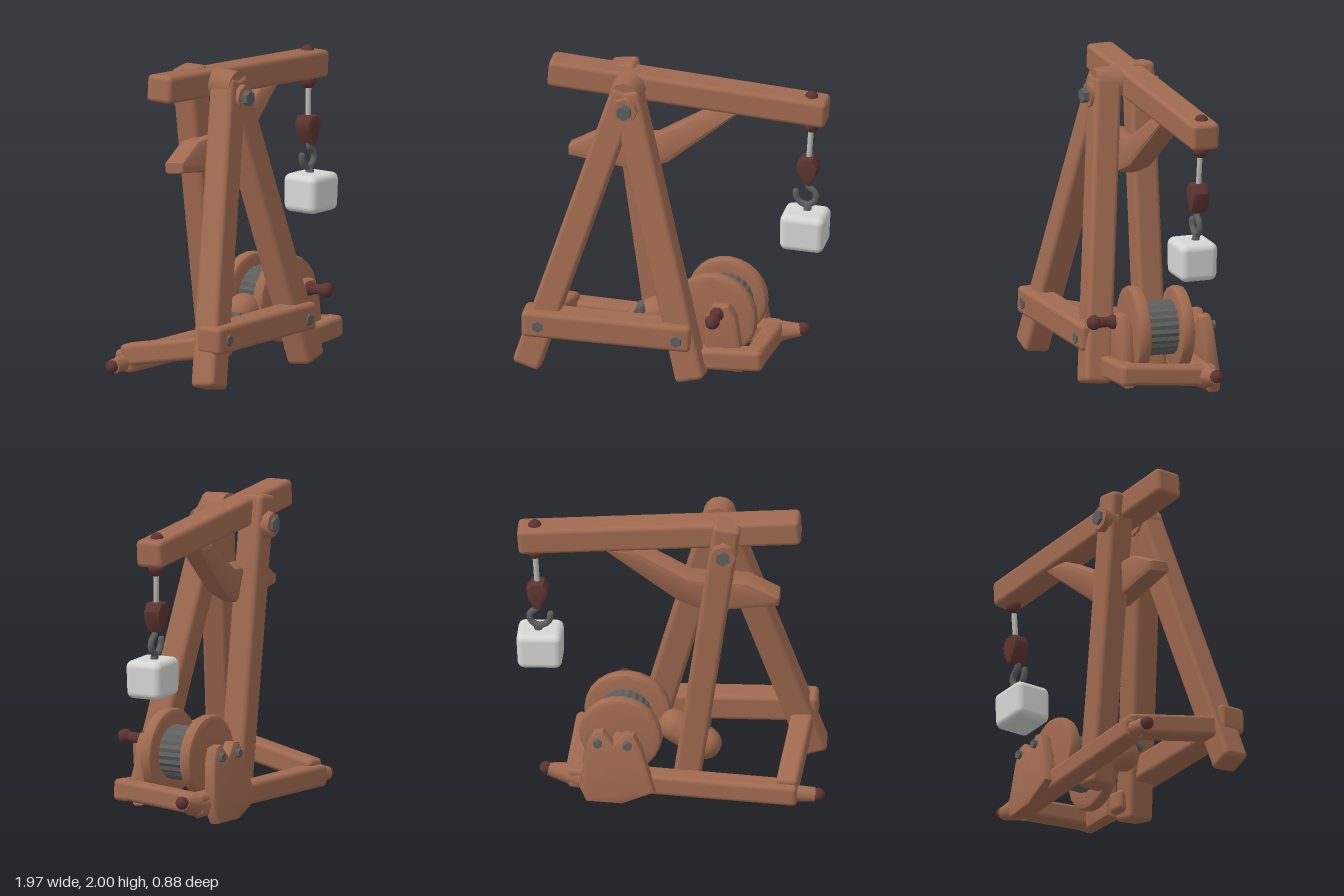
import * as THREE from 'three';
import { RoundedBoxGeometry } from 'three/addons/geometries/RoundedBoxGeometry.js';
import { toCreasedNormals } from 'three/addons/utils/BufferGeometryUtils.js';

const material = (name, color) => Object.assign(new THREE.MeshStandardMaterial({ color }), { name });
const V = (a) => new THREE.Vector3(...a);

export function createModel() {
  const wood = material('wood', 0xa06a50);
  const maroon = material('dark red paint', 0x5c3430);
  const iron = material('iron', 0x5c5f5e);
  const stone = material('pale stone', 0xd6d6d4);
  const rope = material('rope', 0xb8b8b4);

  const model = new THREE.Group();
  model.name = 'woodenCrane';

  function add(name, geometry, mat, pos = [0, 0, 0], parent = model) {
    const mesh = new THREE.Mesh(geometry, mat);
    mesh.name = name;
    mesh.position.set(...pos);
    parent.add(mesh);
    return mesh;
  }

  // Turns a mesh so its length (local y) runs from a to b
  function span(mesh, a, b, ref = [0, 0, 1]) {
    const y = V(b).sub(V(a)).normalize();
    const x = new THREE.Vector3().crossVectors(y, V(ref)).normalize();
    const z = new THREE.Vector3().crossVectors(x, y);
    mesh.quaternion.setFromRotationMatrix(new THREE.Matrix4().makeBasis(x, y, z));
    mesh.position.copy(V(a).add(V(b)).multiplyScalar(0.5));
    return mesh;
  }

  // Squared timber with softened edges
  function beam(name, a, b, w, d, ref) {
    const len = V(a).distanceTo(V(b));
    return span(add(name, new RoundedBoxGeometry(w, len, d, 2, 0.03), wood), a, b, ref);
  }

  // Round bar, optionally tapered
  function rod(name, a, b, ra, rb, mat, sides = 12) {
    const len = V(a).distanceTo(V(b));
    const g = toCreasedNormals(new THREE.CylinderGeometry(rb, ra, len, sides), 0.8);
    const ref = Math.abs(b[2] - a[2]) > 0.8 * len ? [0, 1, 0] : [0, 0, 1];
    return span(add(name, g, mat), a, b, ref);
  }

  const knob = (name, pos, r) => add(name, new THREE.SphereGeometry(r, 10, 8), maroon, pos);

  // Side profile extruded along z with a rounded edge
  function plate(name, points, depth, bevel, pos, parent, mat = wood) {
    const shape = new THREE.Shape(points.map(([x, y]) => new THREE.Vector2(x, y)));
    const g = new THREE.ExtrudeGeometry(shape, {
      depth: depth - 2 * bevel, bevelThickness: bevel, bevelSize: bevel, bevelOffset: -bevel, bevelSegments: 2,
    });
    g.translate(0, 0, bevel - depth / 2);
    return add(name, toCreasedNormals(g, 0.7), mat, pos, parent);
  }

  // Frame legs, the front pair joined by a rounded head
  beam('frontLeftwardLeg', [-0.868, 0.045, 0.333], [-0.281, 1.9, 0.065], 0.18, 0.175);
  beam('frontRightwardLeg', [0.2, 0.045, 0.325], [-0.284, 1.9, 0.065], 0.187, 0.175);
  rod('legHead', [-0.285, 1.868, -0.022], [-0.285, 1.868, 0.14], 0.108, 0.1, wood, 12);
  beam('backLeg', [-0.095, 0.045, -0.17], [-0.36, 1.97, -0.188], 0.175, 0.17);

  // Jib and its bent brace
  beam('jib', [-0.815, 1.912, -0.1], [0.972, 1.775, -0.14], 0.175, 0.185);
  plate('jibBrace', [[-0.68, 1.35], [-0.68, 1.415], [-0.48, 1.525], [-0.12, 1.535], [0.24, 1.75],
    [0.46, 1.77], [-0.03, 1.365], [-0.22, 1.285]], 0.155, 0.03, [0, 0.01, 0.087]).rotation.x = -0.12;

  // Pivot washers and bolts at the head: x, y, inner, washer and bolt depths
  for (const [x, y, z0, z1, z2] of [[-0.27, 1.8, 0.1, 0.19, 0.23], [-0.34, 1.785, -0.22, -0.315, -0.335]]) {
    rod('pivotWasher', [x, y, z0], [x, y, z1], 0.095, 0.08, wood, 8);
    rod('pivotBolt', [x, y, z0], [x, y, z2], 0.055, 0.048, iron, 6);
  }

  // Base timbers
  beam('frontCrossbar', [-0.89, 0.355, 0.34], [0.2, 0.34, 0.32], 0.175, 0.18);
  beam('leftTie', [-0.75, 0.155, -0.39], [-0.8, 0.3, 0.3], 0.14, 0.14, [0, 1, 0]);
  beam('backSill', [-0.82, 0.12, -0.375], [0.64, 0.13, -0.275], 0.14, 0.14);
  beam('winchFrontSill', [0.14, 0.15, 0.235], [0.64, 0.185, 0.245], 0.14, 0.12);
  beam('winchSideSill', [0.58, 0.19, 0.3], [0.6, 0.135, -0.3], 0.12, 0.13, [0, 1, 0]);
  for (const [x, y, z] of [[-0.78, 0.35, 0.415], [0.11, 0.328, 0.4]]) {
    rod('crossbarBolt', [x, y, z], [x, y, z + 0.024], 0.042, 0.036, iron, 6);
  }

  // Tapered sill ends with knobs
  rod('sillTip', [-0.78, 0.115, -0.372], [-0.93, 0.11, -0.365], 0.055, 0.047, wood, 8);
  rod('sillTip', [0.56, 0.125, -0.28], [0.77, 0.16, -0.28], 0.088, 0.042, wood, 8);
  knob('sillKnob', [-0.95, 0.11, -0.365], 0.042);
  knob('sillKnob', [0.785, 0.168, -0.28], 0.042);

  // Winch: two cheeks with a ribbed drum between, the rear cheek smaller
  const winch = new THREE.Group();
  winch.name = 'winch';
  winch.position.set(0.305, 0.395, -0.05);
  winch.rotation.y = -0.08;
  model.add(winch);
  for (const [r, z] of [[0.262, -0.148], [0.28, 0.14]]) {
    const rim = Array.from({ length: 24 }, (_, i) => {
      const a = (i / 24) * Math.PI * 2;
      return [r * Math.cos(a), r * Math.sin(a)];
    });
    plate('winchCheek', rim, 0.085, 0.025, [0, 0, z], winch);
  }
  const ribs = Array.from({ length: 44 }, (_, i) => {
    const a = (i / 44) * Math.PI * 2;
    const r = i % 2 ? 0.166 : 0.174;
    return new THREE.Vector2(r * Math.cos(a), r * Math.sin(a));
  });
  const drum = new THREE.ExtrudeGeometry(new THREE.Shape(ribs), { depth: 0.24, bevelEnabled: false });
  add('winchDrum', drum, iron, [0.01, 0.005, -0.12], winch);

  // Stubby pawl log between the back leg and the winch, with its iron pin
  const log = new THREE.CapsuleGeometry(0.105, 0.22, 5, 12);
  span(add('winchLog', log, wood), [-0.225, 0.245, -0.04], [0.01, 0.375, -0.01]);
  rod('logPin', [-0.2, 0.35, -0.04], [-0.2, 0.35, 0.1], 0.035, 0.035, iron, 8);

  // Front winch post and crank handle
  plate('winchPost', [[0.25, 0.07], [0.5, 0.07], [0.49, 0.25], [0.46, 0.45], [0.41, 0.52], [0.31, 0.52],
    [0.265, 0.45]], 0.085, 0.022, [0, 0, 0.2]);
  rod('crankHandle', [0.34, 0.47, 0.2], [0.34, 0.475, 0.4], 0.03, 0.038, maroon, 10);
  knob('crankKnob', [0.34, 0.476, 0.378], 0.048);
  knob('crankCollar', [0.34, 0.47, 0.25], 0.046);

  // Back winch bracket with two humps
  const bracket = plate('backBracket', [[0.09, 0.1], [0.3, 0.005], [0.53, 0.005], [0.575, 0.1], [0.53, 0.4],
    [0.49, 0.49], [0.43, 0.5], [0.36, 0.415], [0.29, 0.5], [0.23, 0.49], [0.18, 0.39]], 0.085, 0.022, [-0.01, 0, -0.41]);
  bracket.rotation.set(0.1, -0.08, 0);
  for (const [x, z] of [[0.26, -0.37], [0.45, -0.355]]) {
    rod('bracketBolt', [x, 0.42, z], [x, 0.42, z - 0.042], 0.034, 0.028, iron, 6);
  }
  rod('winchAxle', [0.32, 0.38, -0.36], [0.31, 0.39, 0.2], 0.05, 0.05, wood, 10);

  // Rope with knobs above and below the jib tip
  knob('ropeKnob', [0.867, 1.86, -0.145], 0.045);
  knob('ropeKnob', [0.867, 1.672, -0.138], 0.05);
  rod('rope', [0.867, 1.68, -0.138], [0.853, 1.43, -0.13], 0.018, 0.018, rope, 8);

  // Pulley block, broad above and pointed below
  plate('pulleyBlock', [[0.81, 1.455], [0.885, 1.455], [0.92, 1.4], [0.91, 1.34], [0.87, 1.265], [0.835, 1.265],
    [0.785, 1.36], [0.782, 1.41]], 0.12, 0.022, [0, 0, -0.13], model, maroon);

  // Hook
  const hookPath = new THREE.CatmullRomCurve3([[0.85, 1.29], [0.85, 1.25], [0.895, 1.21], [0.9, 1.165], [0.86, 1.125],
    [0.805, 1.13], [0.775, 1.165], [0.77, 1.205]].map(([x, y]) => new THREE.Vector3(x, y, -0.12)));
  add('hook', new THREE.TubeGeometry(hookPath, 28, 0.021, 8), iron);
  add('hookTip', new THREE.SphereGeometry(0.021, 8, 6), iron, [0.77, 1.205, -0.12]);
  rod('weightEye', [0.845, 1.07, -0.11], [0.85, 1.13, -0.12], 0.028, 0.024, iron, 8);

  // Hanging weight, slightly narrower at the bottom
  const weight = new RoundedBoxGeometry(0.285, 0.245, 0.25, 3, 0.045);
  const p = weight.attributes.position;
  for (let i = 0; i < p.count; i++) {
    const s = 1 + p.getY(i) * 0.12;
    p.setX(i, p.getX(i) * s);
    p.setZ(i, p.getZ(i) * s);
  }
  add('weight', weight, stone, [0.835, 0.967, -0.095]).rotation.z = -0.03;

  return model;
}
